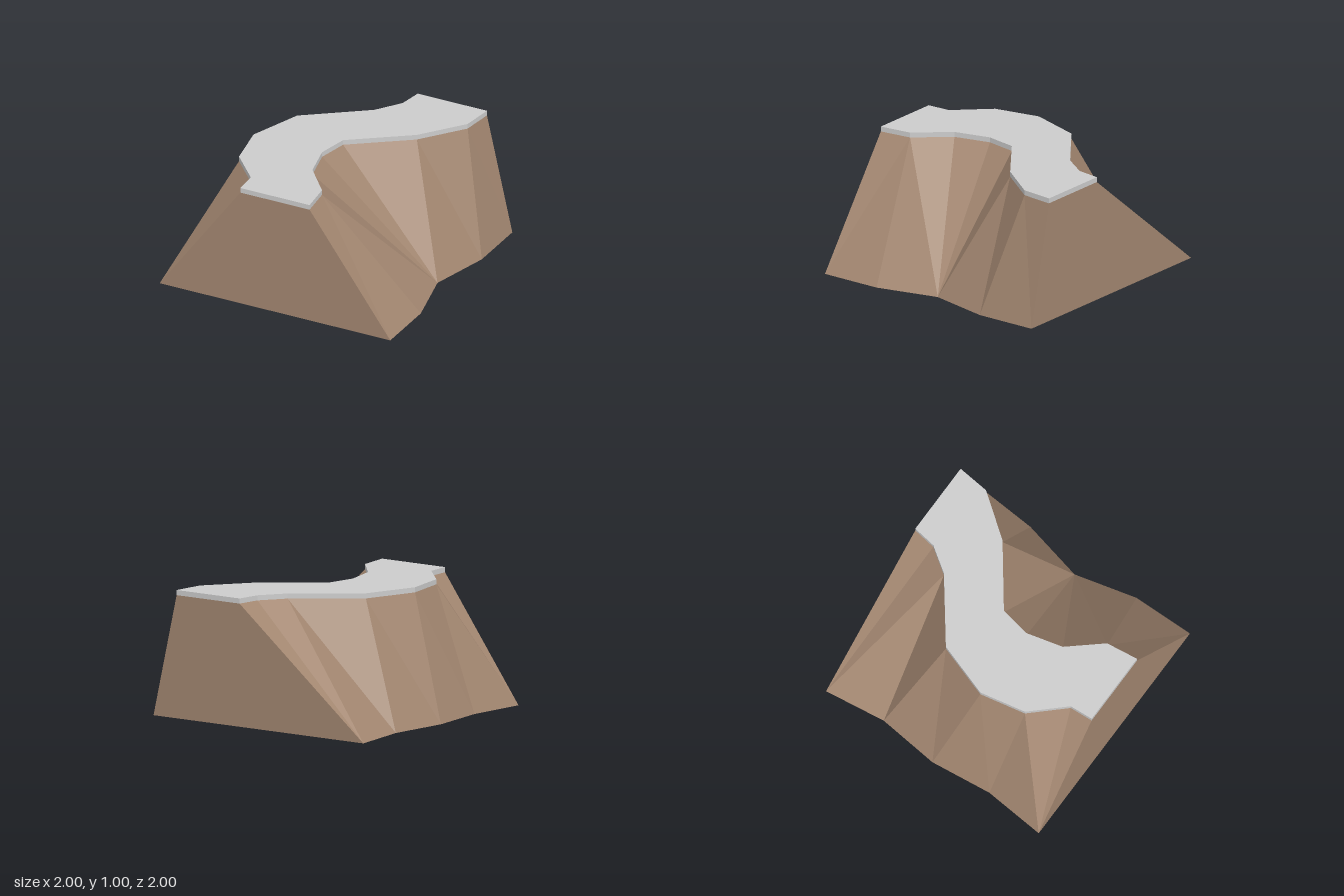
import * as THREE from 'three';

const TOP = 1, EDGE = 0.96; // top of the path slab, top of the slopes

// Rim of the path and foot of the slopes, as [x, z] from back to front
const rimLeft = [[0.18, -1], [0.15, -0.81], [0.01, -0.61], [-0.47, -0.25], [-0.62, 0.18], [-0.55, 0.55], [-0.31, 0.81], [-0.3, 1]];
const rimRight = [[0.78, -1], [0.75, -0.74], [0.49, -0.4], [0.03, -0.06], [-0.02, 0.19], [0.05, 0.48], [0.27, 0.74], [0.3, 1]];
const footLeft = [[-1, -1], [-0.94, -0.5], [-1, 0], [-0.95, 0.5], [-1, 1]];
const footRight = [[1, -1], [1, -0.5], [0.88, 0], [1, 0.5], [1, 1]];

const at = ([x, z], y) => [x, y, z];

function facets(name, triangles, material) {
  const geometry = new THREE.BufferGeometry();
  geometry.setAttribute('position', new THREE.Float32BufferAttribute(triangles.flat(2), 3));
  geometry.computeVertexNormals();
  const mesh = new THREE.Mesh(geometry, material);
  mesh.name = name;
  return mesh;
}

// Each foot point fans out to the rim points first..last given in fans
function slope(foot, rim, fans, flip) {
  const triangles = [];
  const add = (a, b, c) => triangles.push(flip ? [a, c, b] : [a, b, c]);
  fans.forEach(([first, last], i) => {
    const b = at(foot[i], 0);
    for (let j = first; j < last; j++) add(b, at(rim[j], EDGE), at(rim[j + 1], EDGE));
    if (i < foot.length - 1) add(at(foot[i + 1], 0), b, at(rim[last], EDGE));
  });
  return triangles;
}

function endWall(i, j, flip) {
  const a = at(footLeft[i], 0), b = at(footRight[i], 0);
  const c = at(rimRight[j], EDGE), d = at(rimLeft[j], EDGE);
  return flip ? [[a, c, b], [a, d, c]] : [[a, b, c], [a, c, d]];
}

export function createModel() {
  const earth = new THREE.MeshStandardMaterial({ color: 0xa28670, flatShading: true, side: THREE.DoubleSide });
  earth.name = 'brown earth';
  const stone = new THREE.MeshStandardMaterial({ color: 0xcccccc, flatShading: true });
  stone.name = 'light grey stone';

  const group = new THREE.Group();
  group.name = 'windingRidge';

  // Faceted embankment, open underneath
  group.add(
    facets('rightSlope', slope(footRight, rimRight, [[0, 1], [1, 2], [2, 6], [6, 6], [6, 7]], false), earth),
    facets('leftSlope', slope(footLeft, rimLeft, [[0, 2], [2, 3], [3, 4], [4, 5], [5, 7]], true), earth),
    facets('frontWall', endWall(4, 7, false), earth),
    facets('backWall', endWall(0, 0, true), earth),
  );

  // Winding path slab along the crest
  const outline = [...rimLeft, ...[...rimRight].reverse()].map(([x, z]) => new THREE.Vector2(x, z));
  const slab = new THREE.ExtrudeGeometry(new THREE.Shape(outline), { depth: TOP - EDGE, bevelEnabled: false });
  slab.rotateX(Math.PI / 2).translate(0, TOP, 0);
  const path = new THREE.Mesh(slab, stone);
  path.name = 'pathSlab';
  group.add(path);
  return group;
}
